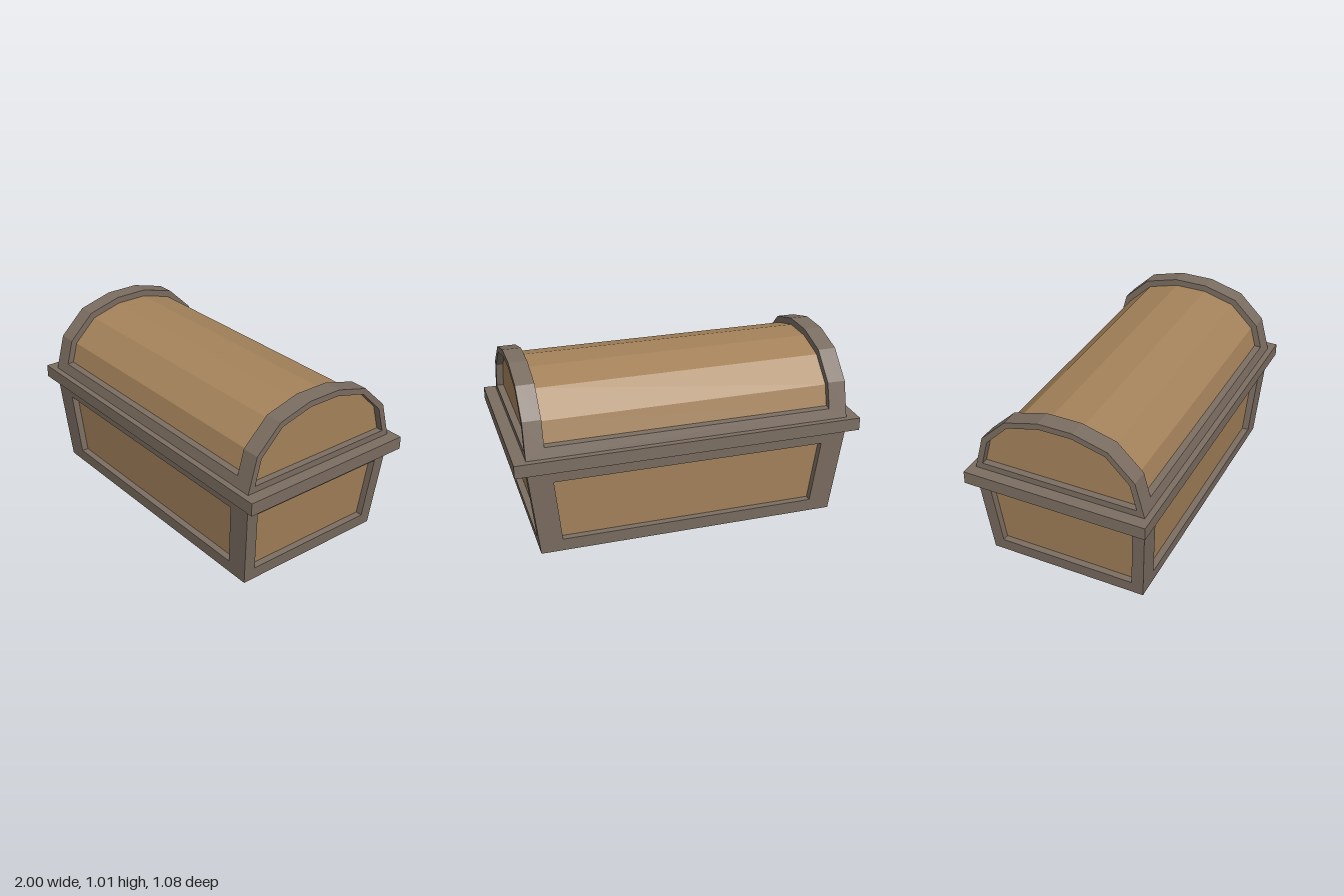
import * as THREE from 'three';

const stone = new THREE.MeshStandardMaterial({ color: 0x7b6d61 });
stone.name = 'grey brown frame';
const wood = new THREE.MeshStandardMaterial({ color: 0xa5835b });
wood.name = 'tan wood';

// Flat-faced mesh from a list of four-cornered faces
function quadMesh(name, quads, material) {
  const pos = [];
  for (const [a, b, c, d] of quads) pos.push(...a, ...b, ...c, ...a, ...c, ...d);
  const geo = new THREE.BufferGeometry();
  geo.setAttribute('position', new THREE.Float32BufferAttribute(pos, 3));
  geo.computeVertexNormals();
  const mesh = new THREE.Mesh(geo, material);
  mesh.name = name;
  return mesh;
}

// Closed band of faces between two matching loops
const band = (a, b) => a.map((p, i) => {
  const j = (i + 1) % a.length;
  return [p, a[j], b[j], b[i]];
});

// A frame around an opening, with a wooden panel sunk into it
function sunkPanel(name, outer, opening, recess) {
  const group = new THREE.Group();
  group.name = name;
  const n = recess.length, panel = [];
  for (let i = 0; i < n / 2 - 1; i++) {
    panel.push([recess[i], recess[i + 1], recess[n - 2 - i], recess[n - 1 - i]]);
  }
  group.add(
    quadMesh(name + 'Frame', [...band(outer, opening), ...band(opening, recess)], stone),
    quadMesh(name + 'Wood', panel, wood));
  return group;
}

// Four corners of a tapering wall that faces +z
const wall = (w0, w1, y0, y1, z0, z1) =>
  [[-w0, y0, z0], [w0, y0, z0], [w1, y1, z1], [-w1, y1, z1]];

// Full lid arch, from +z over the top to -z, out of its front half
const arch = half => [...half, ...half.slice().reverse().map(([z, y]) => [-z, y])];

export function createModel() {
  const chest = new THREE.Group();
  chest.name = 'chest';
  const DEPTH = 0.04;

  for (const side of [0, 1]) {
    const tag = side ? 'Back' : 'Front';
    const endTag = side ? 'Right' : 'Left';

    // Long body walls
    const long = sunkPanel('body' + tag,
      wall(0.87, 0.93, 0, 0.53, 0.47, 0.505),
      wall(0.745, 0.785, 0.075, 0.455, 0.475, 0.5),
      wall(0.745, 0.785, 0.075, 0.455, 0.475 - DEPTH, 0.5 - DEPTH));
    long.rotation.y = side * Math.PI;

    // Short body walls
    const short = sunkPanel('body' + endTag,
      wall(0.47, 0.505, 0, 0.53, 0.87, 0.93),
      wall(0.405, 0.43, 0.075, 0.455, 0.8785, 0.9215),
      wall(0.405, 0.43, 0.075, 0.455, 0.8785 - DEPTH, 0.9215 - DEPTH));
    short.rotation.y = Math.PI / 2 + side * Math.PI;

    // Arched lid ends
    const outer = arch([[0.505, 0.605], [0.45, 0.81], [0.3, 0.955], [0.1, 1.01]]);
    const inner = arch([[0.46, 0.642], [0.42, 0.79], [0.285, 0.925], [0.095, 0.975]]);
    const at = (profile, x) => profile.map(([z, y]) => [x, y, z]).reverse();
    const end = sunkPanel('lid' + endTag, at(outer, 0.93), at(inner, 0.93), at(inner, 0.93 - DEPTH));
    end.rotation.y = side * Math.PI;

    chest.add(long, short, end);
  }

  // Barrel of the lid, sunk between the two arch bands and the lower strips
  const around = (half, x) => {
    const p = arch(half);
    return [...p.map(([z, y]) => [x, y, z]), ...p.map(([z, y]) => [-x, y, z]).reverse()];
  };
  const crown = [[0.45, 0.81], [0.3, 0.955], [0.1, 1.01]];
  chest.add(sunkPanel('lidBarrel',
    around([[0.505, 0.605], ...crown], 0.93),
    around([[0.489, 0.665], ...crown], 0.825),
    around([[0.45, 0.668], [0.418, 0.787], [0.28, 0.92], [0.095, 0.971]], 0.825)));

  // Rim between body and lid
  const rim = new THREE.Mesh(new THREE.BoxGeometry(2, 0.075, 1.08), stone);
  rim.name = 'rim';
  rim.position.y = 0.5675;
  chest.add(rim);

  // Wooden underside
  const bottom = new THREE.Mesh(new THREE.PlaneGeometry(1.74, 0.94), wood);
  bottom.name = 'underside';
  bottom.rotation.x = Math.PI / 2;
  chest.add(bottom);

  return chest;
}
